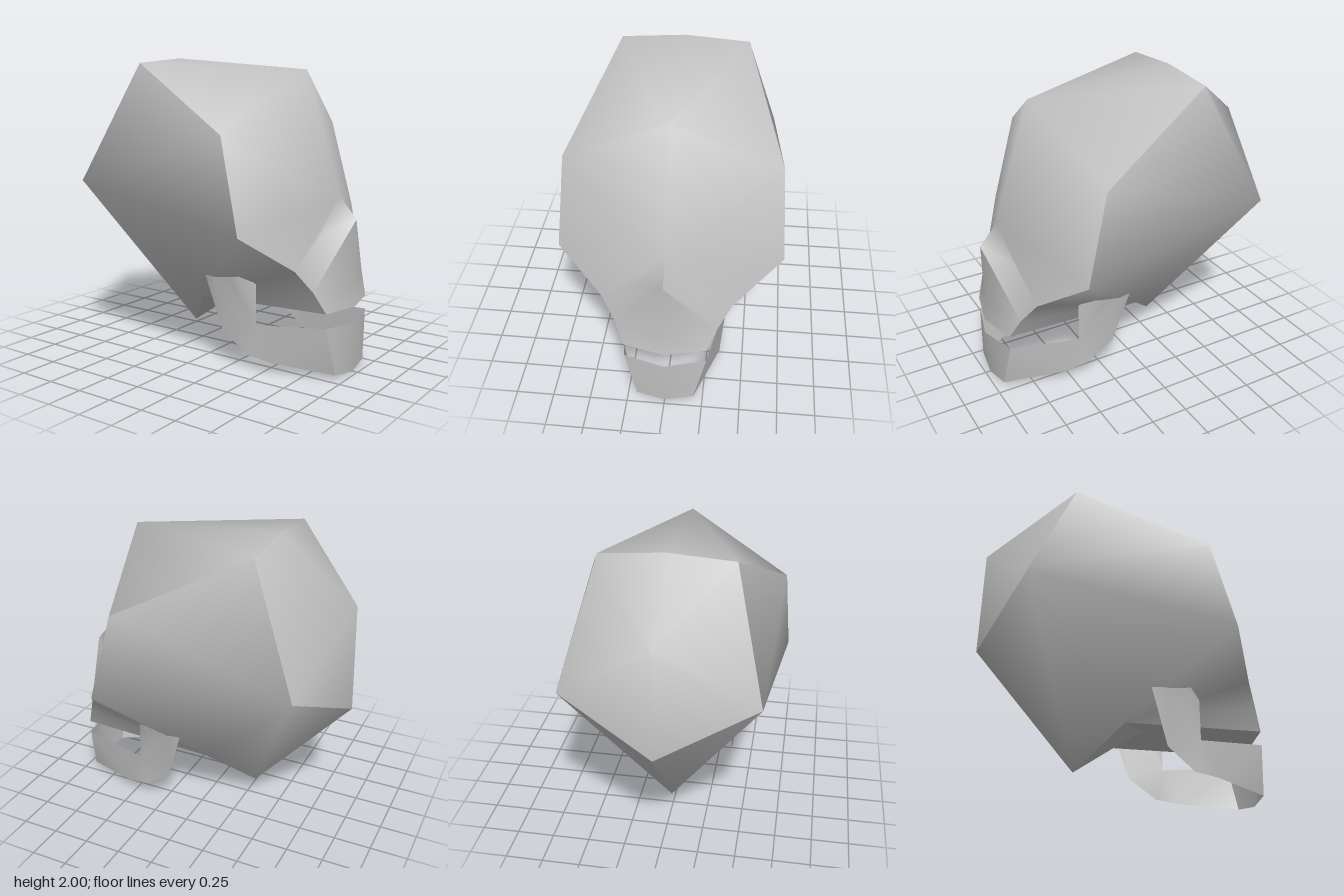
import * as THREE from 'three';

// Corner points of the +x half; points with x = 0 lie on the mirror plane
const P = {
  // cranium
  crownMid: [0, 2.0, -0.44], crown: [0.425, 1.97, -0.44], forehead: [0, 1.93, 0.59],
  temple: [0.69, 1.55, 0.41], cheek: [0.73, 0.955, 0.56], brow: [0, 1.14, 0.845],
  noseBridge: [0, 1.0, 0.965], noseTip: [0, 1.0, 0.965], hollow: [0.16, 0.9, 0.8],
  lip: [0, 0.58, 0.95], teethMid: [0, 0.44, 0.975],
  teeth: [0.27, 0.44, 0.91], muzzle: [0.33, 0.58, 0.85], socket: [0.42, 0.72, 0.77],
  backTop: [0, 1.6, -0.96], backSide: [0.635, 1.18, -0.79], backLow: [0, 0.875, -0.98],
  nape: [0, 0.12, -0.31], hinge: [0.26, 0.4, -0.04], baseMid: [0, 0.45, 0.16],
  // jaw
  chinTopMid: [0, 0.335, 0.98], chinMid: [0, 0, 0.965], chinTop: [0.27, 0.345, 0.91],
  chin: [0.19, 0.025, 0.94], jawLow: [0.34, 0.07, 0.55], angleFront: [0.35, 0.09, 0.39],
  angleBack: [0.375, 0.23, 0.2], notch: [0.345, 0.305, 0.44], ramusFront: [0.345, 0.59, 0.44],
  ramusTopA: [0.42, 0.635, 0.35], ramusTopB: [0.425, 0.635, 0.27],
  ramusDip: [0.43, 0.6, 0.17], ramusBack: [0.415, 0.62, 0.08],
};

// Triangles by corner name; each panel is smooth inside and sharp along its border
const CRANIUM = {
  face: [
    'forehead crown crownMid', 'forehead temple crown', 'brow temple forehead',
    'brow cheek temple', 'brow socket cheek', 'brow hollow socket', 'brow noseBridge hollow',
    'noseBridge muzzle hollow', 'hollow muzzle socket',
    'noseTip lip muzzle', 'lip teethMid teeth', 'lip teeth muzzle',
  ],
  skullSide: [
    'crown temple backSide', 'temple cheek backSide', 'cheek hinge backSide',
    'hinge nape backSide', 'nape backLow backSide', 'cheek socket hinge',
    'socket muzzle hinge', 'muzzle teeth hinge',
  ],
  skullBack: ['crownMid crown backTop', 'crown backSide backTop', 'backTop backSide backLow'],
  palate: ['teethMid baseMid teeth', 'baseMid hinge teeth'],
  skullBase: ['baseMid nape hinge'],
};
const JAW = {
  chin: ['chinTopMid chinMid chin', 'chinTopMid chin chinTop'],
  jawSide: [
    'chinTop chin jawLow', 'chinTop jawLow notch', 'notch jawLow angleFront',
    'notch angleFront angleBack', 'notch angleBack ramusDip', 'angleBack ramusBack ramusDip',
    'notch ramusDip ramusTopB', 'notch ramusTopB ramusTopA', 'notch ramusTopA ramusFront',
  ],
};
// Panels whose two halves meet in a sharp edge or not at all
const SPLIT = ['skullSide', 'skullBase', 'jawSide'];

// Builds a panel for the given sides (1 = left, -1 = right)
function panel(triangles, sides) {
  const positions = [], index = [], seen = new Map();
  const vertex = (name, side) => {
    const [x, y, z] = P[name];
    // the nose bridge stays sharp between the halves
    const key = x === 0 && name !== 'noseBridge' ? name : name + side;
    if (!seen.has(key)) {
      seen.set(key, positions.length / 3);
      positions.push(x * side, y, z);
    }
    return seen.get(key);
  };
  for (const side of sides) {
    for (const triangle of triangles) {
      const corners = triangle.split(' ').map((name) => vertex(name, side));
      index.push(...(side > 0 ? corners : corners.reverse()));
    }
  }
  const geometry = new THREE.BufferGeometry();
  geometry.setAttribute('position', new THREE.Float32BufferAttribute(positions, 3));
  geometry.setIndex(index);
  geometry.computeVertexNormals();
  return geometry;
}

function part(name, panels, material) {
  const group = new THREE.Group();
  group.name = name;
  for (const [panelName, triangles] of Object.entries(panels)) {
    const halves = SPLIT.includes(panelName) ? [[1], [-1]] : [[1, -1]];
    for (const sides of halves) {
      const mesh = new THREE.Mesh(panel(triangles, sides), material);
      mesh.name = halves.length === 1 ? panelName : panelName + (sides[0] > 0 ? 'Left' : 'Right');
      group.add(mesh);
    }
  }
  return group;
}

export function createModel() {
  const bone = new THREE.MeshStandardMaterial({ color: 0xc0c0c0, side: THREE.DoubleSide });
  bone.name = 'bone grey';
  const model = new THREE.Group();
  model.name = 'skull';
  model.add(part('cranium', CRANIUM, bone), part('jaw', JAW, bone));
  return model;
}
